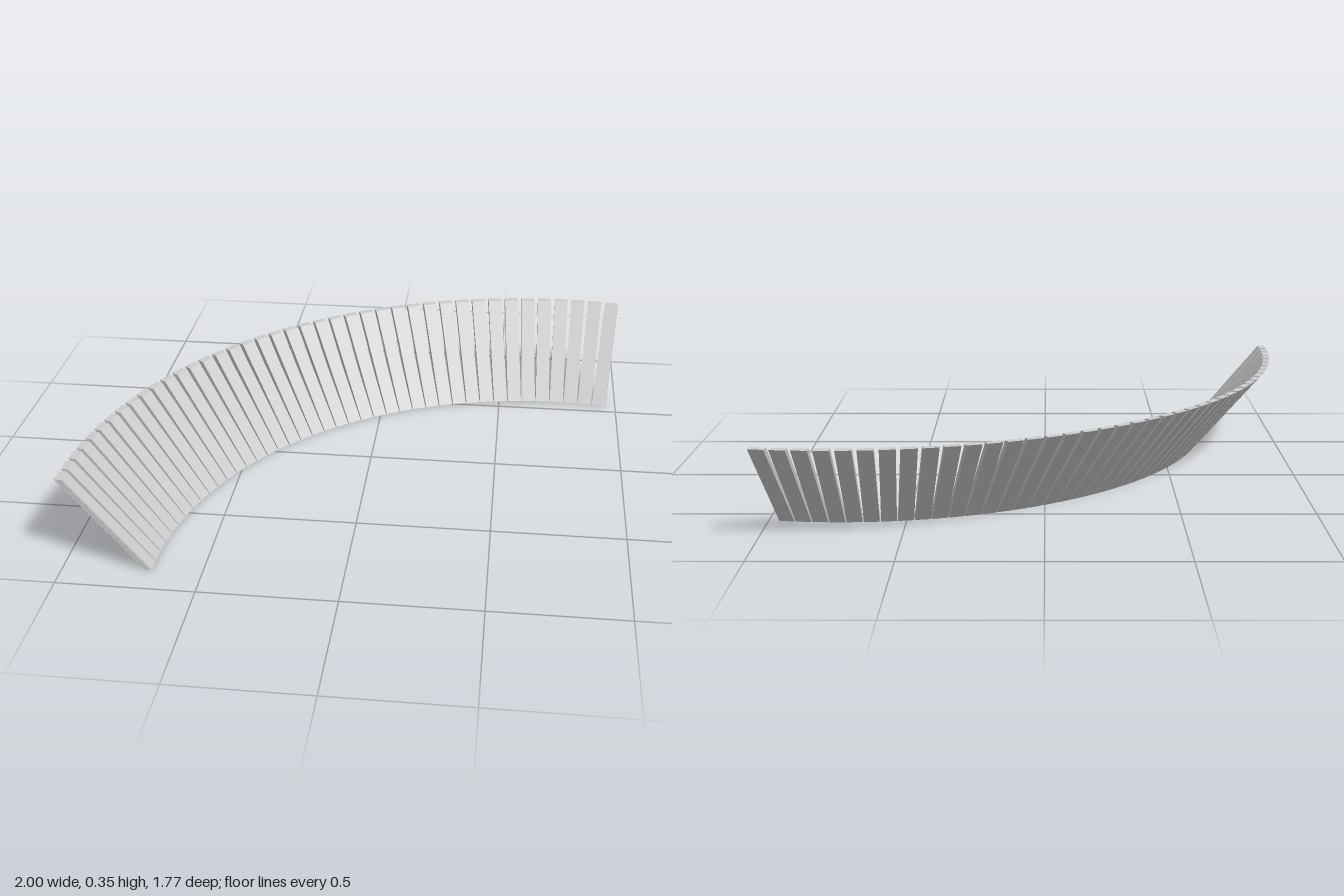
import * as THREE from 'three';

export function createModel() {
  const model = new THREE.Group();
  model.name = 'curvedSlatWall';
  const material = new THREE.MeshStandardMaterial({ color: 0xcccccc, flatShading: true });

  const count = 41;
  const step = THREE.MathUtils.degToRad(100 / count);
  const radius = 1.742; // outer radius at the top
  const height = 0.35, lean = 0.29, thickness = 0.028, width = 0.057;

  // Leaning slat profile (radius, height) with level top and bottom ends
  const profile = new THREE.Shape([
    new THREE.Vector2(radius - lean - thickness, 0),
    new THREE.Vector2(radius - lean, 0),
    new THREE.Vector2(radius, height),
    new THREE.Vector2(radius - thickness, height),
  ]);
  const slatGeometry = new THREE.ExtrudeGeometry(profile, { depth: width, bevelEnabled: false });
  slatGeometry.translate(0, 0, -width / 2);

  // Slats fanned around the arc, from the left-hand end round to the back
  for (let i = 0; i < count; i++) {
    const slat = new THREE.Mesh(slatGeometry, material);
    slat.name = `slat${i + 1}`;
    slat.rotation.y = Math.PI - i * step;
    slat.position.set(radius - 1, 0, (radius - width / 2) / 2);
    model.add(slat);
  }
  return model;
}
